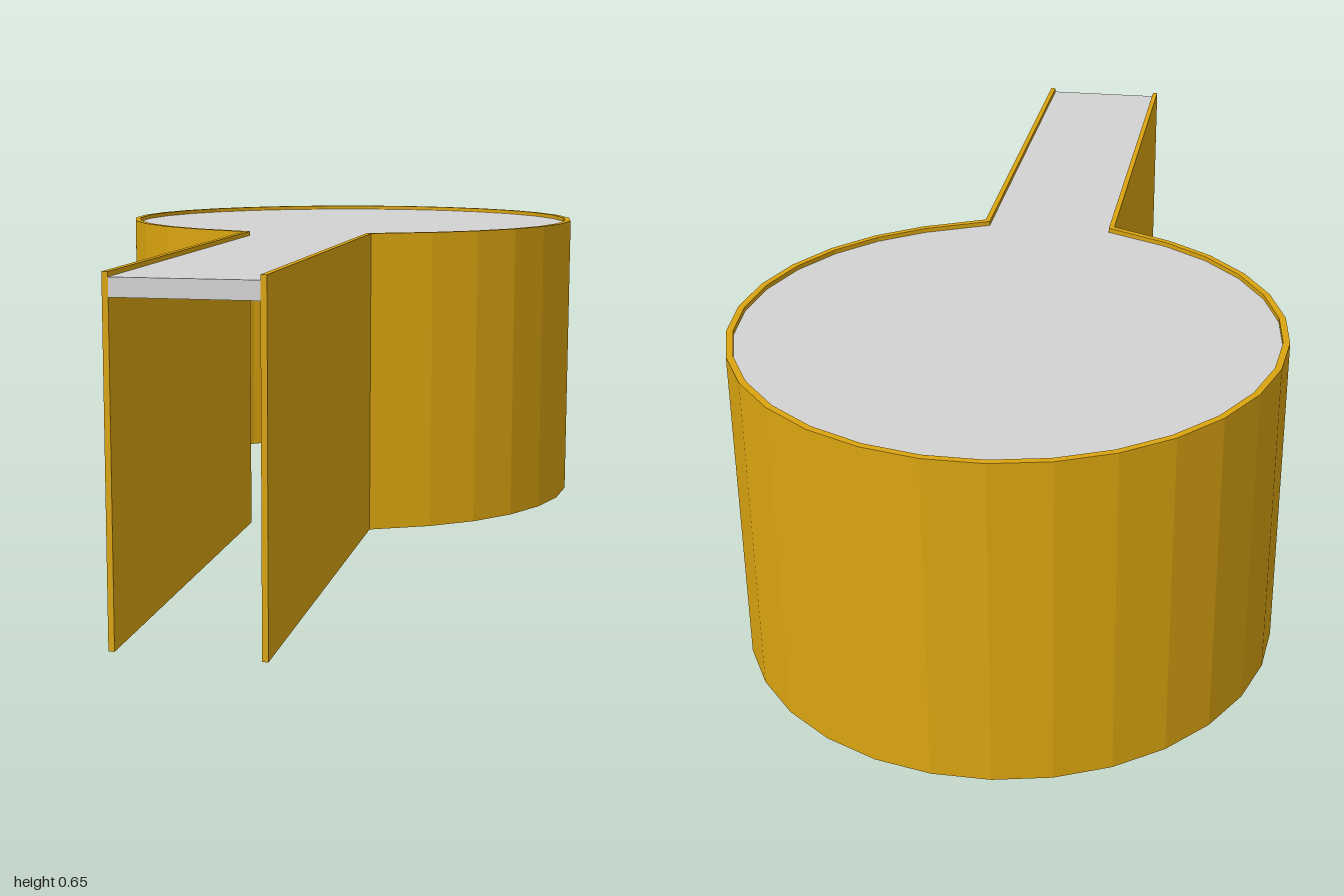
import * as THREE from 'three';

const HEIGHT = 0.653;
const CENTER_Z = -0.471;
const STEP = 12; // degrees per facet of the round chamber

// Keyhole outline in plan: right leg, round chamber, left leg (x, -z)
function outline(radius, halfWidth, neckZ) {
  const pts = [[halfWidth, 1], [halfWidth, neckZ]];
  for (let a = -60; a <= 240; a += STEP) {
    const t = THREE.MathUtils.degToRad(a);
    pts.push([radius * Math.cos(t), CENTER_Z - radius * Math.sin(t)]);
  }
  pts.push([-halfWidth, neckZ], [-halfWidth, 1]);
  return pts.map(([x, z]) => new THREE.Vector2(x, -z));
}

// Extrude a plan shape upward between two heights
function slab(name, points, y0, y1, material) {
  const geometry = new THREE.ExtrudeGeometry(new THREE.Shape(points), {
    depth: y1 - y0, bevelEnabled: false,
  });
  geometry.rotateX(-Math.PI / 2).translate(0, y0, 0);
  const mesh = new THREE.Mesh(geometry, material);
  mesh.name = name;
  return mesh;
}

export function createModel() {
  const gold = new THREE.MeshStandardMaterial({ color: 0xdaa520 });
  gold.color.set(0xdba510);
  gold.name = 'gold';
  const grey = new THREE.MeshStandardMaterial({ color: 0xd3d3d3 });
  grey.name = 'light grey';

  const outer = outline(0.532, 0.141, 0.05);
  const inner = outline(0.519, 0.13, 0.04);

  const model = new THREE.Group();
  model.name = 'keyholeChamber';
  // Thin wall running around the chamber and along both sides of the passage
  model.add(slab('wall', [...outer, ...inner.slice().reverse()], 0, HEIGHT, gold));
  // Roof slab set slightly below the wall rim
  model.add(slab('roof', inner, 0.61, 0.644, grey));
  return model;
}
